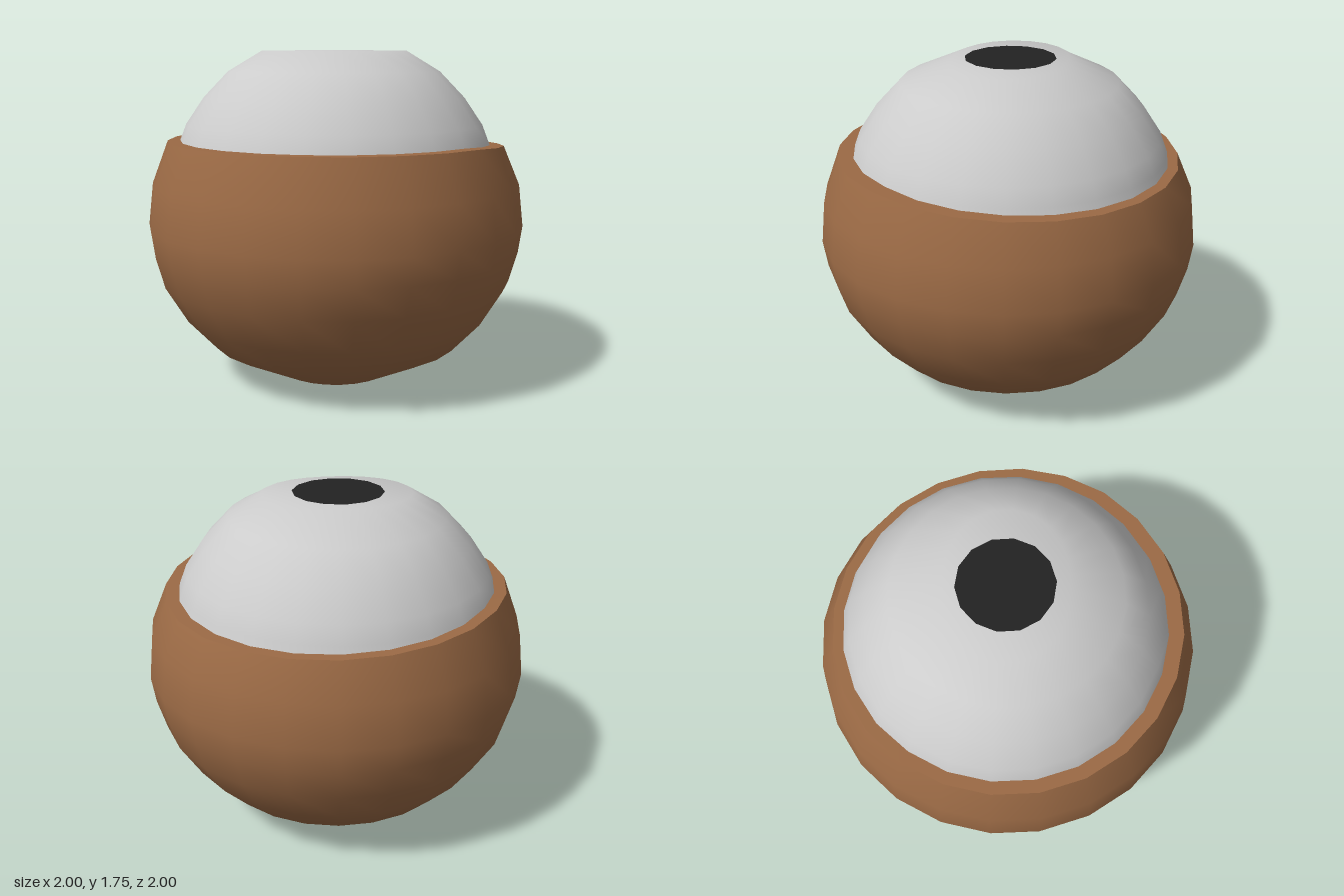
import * as THREE from 'three';
import { mergeVertices } from 'three/addons/utils/BufferGeometryUtils.js';

const RIM_Y = 1.275;
const SIDES = 24;

// Turn a profile around y, optionally move its vertices by a rule, and smooth it.
function turned(name, profile, color, rule) {
  let geo = new THREE.LatheGeometry(profile.map(([r, y]) => new THREE.Vector2(r, y)), SIDES);
  geo.deleteAttribute('uv');
  geo.deleteAttribute('normal');
  geo = mergeVertices(geo);
  const pos = geo.attributes.position;
  const v = new THREE.Vector3();
  if (rule) {
    for (let i = 0; i < pos.count; i++) {
      rule(v.fromBufferAttribute(pos, i));
      pos.setXYZ(i, v.x, v.y, v.z);
    }
  }
  geo.computeVertexNormals();
  const mesh = new THREE.Mesh(geo, new THREE.MeshStandardMaterial({ color, side: THREE.DoubleSide }));
  mesh.name = name;
  return mesh;
}

// The rim dips slightly towards the back.
function dipRim(v) {
  if (v.y > RIM_Y - 0.01 && v.z < 0) v.y += 0.052 * v.z;
}

// The flattened crown of the eyeball is a little longer along one diagonal.
function stretchCrown(v) {
  const r = Math.hypot(v.x, v.z);
  if (v.y < 1.73 || r < 0.01) return;
  const k = 1 + 0.13 * Math.cos(2 * (Math.atan2(v.z, v.x) + 0.6));
  v.x *= k;
  v.z *= k;
}

export function createModel() {
  const model = new THREE.Group();
  model.name = 'eyeball';
  const brown = 0x9b6a45;

  // Round lower casing with a flat base
  model.add(turned('casing', [
    [0, 0], [0.3, 0], [0.67, 0.18], [0.82, 0.34], [0.935, 0.53],
    [0.98, 0.69], [1, 0.83], [0.975, 1.05], [0.89, RIM_Y],
  ], brown, dipRim));

  // Flat lip between casing and eyeball
  model.add(turned('casingRim', [[0.89, RIM_Y], [0.77, RIM_Y]], brown, dipRim));

  // Exposed dome of the eyeball, starting just inside the casing
  const eye = turned('eyeDome', [
    [0.86, 1.16], [0.82, 1.27], [0.785, 1.36], [0.69, 1.5],
    [0.56, 1.635], [0.34, 1.742], [0, 1.745],
  ], 0xcccccc, stretchCrown);
  eye.position.x = -0.01;
  model.add(eye);

  // Dark pupil disc on the crown
  const pupil = new THREE.Mesh(
    new THREE.CircleGeometry(0.235, 14),
    new THREE.MeshStandardMaterial({ color: 0x222222, side: THREE.DoubleSide }),
  );
  pupil.name = 'pupil';
  pupil.rotation.x = -Math.PI / 2;
  pupil.position.set(-0.015, 1.749, 0);
  model.add(pupil);

  return model;
}
